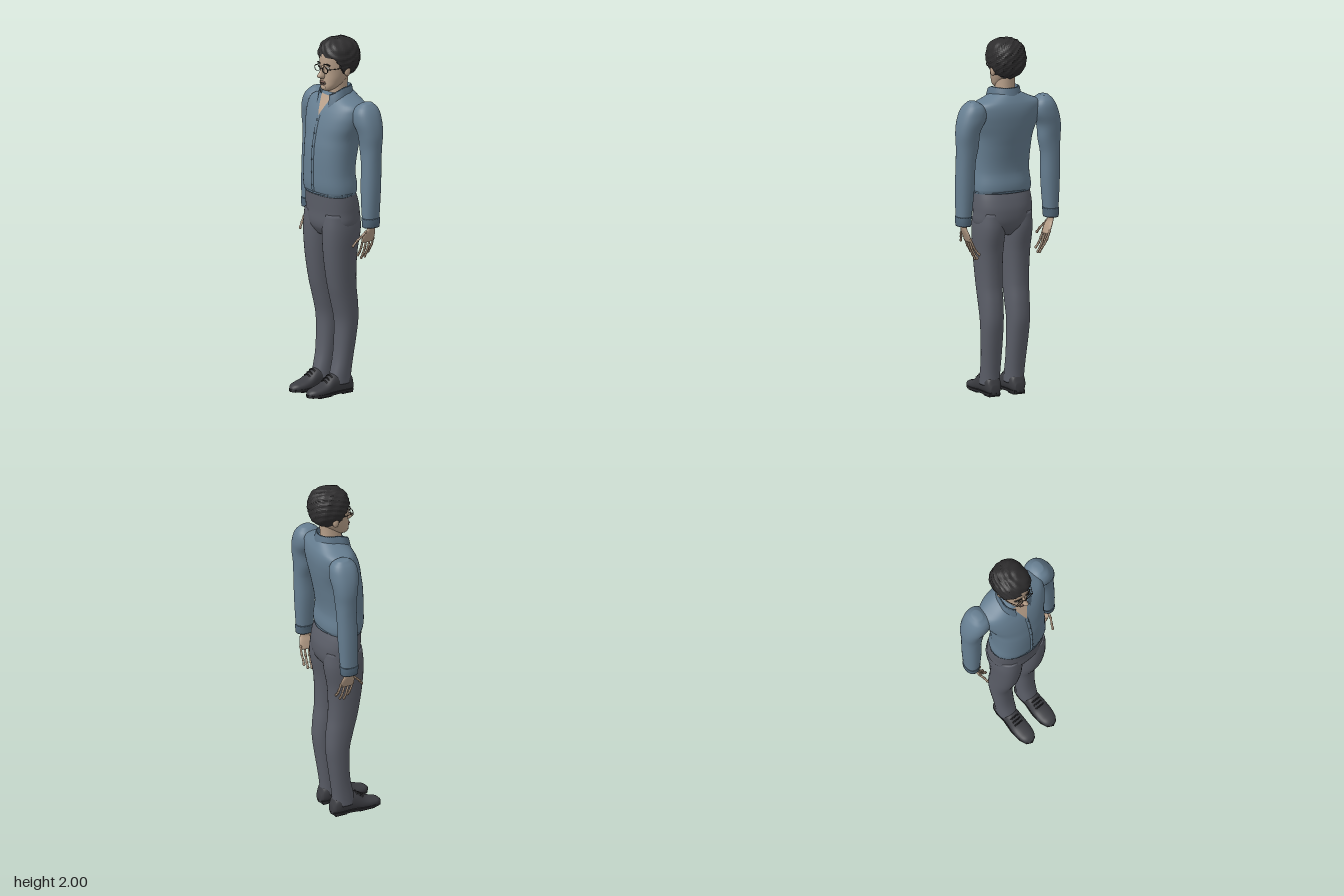
import * as THREE from 'three';
import { mergeVertices } from 'three/addons/utils/BufferGeometryUtils.js';

const mat = (color, extra = {}) => new THREE.MeshStandardMaterial({ color, ...extra });
const M = {
  shirt: mat(0x667e91), shirtDark: mat(0x52687a), trousers: mat(0x5b5e68), hair: mat(0x2e2d2e),
  skin: mat(0xb8a08a), shoe: mat(0x3c3d42), sole: mat(0x28282b), dark: mat(0x2b2725), lip: mat(0x98766a),
  white: mat(0xd8d4cc), collar: mat(0x5c7386), bone: mat(0x9a836d),
};
M.hair.flatShading = true;
M.collar.side = M.skin.side = THREE.DoubleSide;

function add(group, name, geometry, material, pos) {
  const mesh = new THREE.Mesh(geometry, material);
  mesh.name = name;
  if (pos) mesh.position.set(...pos);
  group.add(mesh);
  return mesh;
}

// Smooth surface from a function of grid steps (u, v)
function grid(nu, nv, fn) {
  const pos = [], idx = [];
  for (let v = 0; v <= nv; v++) for (let u = 0; u <= nu; u++) pos.push(...fn(u, v));
  const w = nu + 1;
  for (let v = 0; v < nv; v++) for (let u = 0; u < nu; u++) {
    const a = v * w + u;
    idx.push(a, a + w, a + 1, a + 1, a + w, a + w + 1);
  }
  let g = new THREE.BufferGeometry();
  g.setAttribute('position', new THREE.Float32BufferAttribute(pos, 3));
  g.setIndex(idx);
  g = mergeVertices(g, 1e-5);
  g.computeVertexNormals();
  return g;
}

// Rows are [y, centre x, half width, front z, back z], interpolated smoothly
const N = 2.3;
function rowsAt(rows) {
  const curve = new THREE.CubicInterpolant(rows.map(r => r[0]), rows.flatMap(r => r.slice(1)), 4, new Float32Array(4));
  return y => Array.from(curve.evaluate(y));
}
function loft(rows, side = 1, sides = 32, sub = 5) {
  const at = rowsAt(rows), ys = [rows[0][0]];
  for (let i = 1; i < rows.length; i++)
    for (let k = 1; k <= sub; k++) ys.push(THREE.MathUtils.lerp(rows[i - 1][0], rows[i][0], k / sub));
  const pw = c => Math.sign(c) * Math.abs(c) ** (2 / N);
  return grid(sides, ys.length + 1, (u, v) => {
    const y = ys[Math.min(Math.max(v - 1, 0), ys.length - 1)];
    const [cx, rx, zf, zb] = at(y), k = v === 0 || v === ys.length + 1 ? 0 : 1;
    const a = (u % sides) / sides * Math.PI * 2;
    return [side * cx + k * rx * pw(Math.cos(a)), y, (zf + zb) / 2 + k * (zf - zb) / 2 * pw(Math.sin(a))];
  });
}
function frontZ(rows, x, y) {
  const [cx, rx, zf, zb] = rowsAt(rows)(y);
  const t = Math.min(1, Math.abs((x - cx) / rx));
  return (zf + zb) / 2 + (zf - zb) / 2 * (1 - t ** N) ** (1 / N);
}
const tube = (pts, r, seg = 12) =>
  new THREE.TubeGeometry(new THREE.CatmullRomCurve3(pts.map(p => new THREE.Vector3(...p))), seg, r, 6);
function ball(group, name, material, pos, scale) {
  add(group, name, new THREE.SphereGeometry(1, 14, 10), material, pos).scale.set(...scale);
}

const TORSO = [
  [1.13, 0, .162, .088, -.128], [1.16, 0, .168, .1, -.14], [1.26, 0, .16, .105, -.132], [1.4, 0, .163, .1, -.155],
  [1.46, 0, .168, .09, -.168], [1.53, 0, .19, .075, -.18], [1.6, 0, .203, .05, -.185], [1.645, 0, .19, .025, -.178],
  [1.675, 0, .125, .008, -.165], [1.7, 0, .075, -.005, -.15]];
const ARM = [
  [.98, .27, .036, -.045, -.135], [1.04, .268, .041, -.04, -.14], [1.2, .263, .051, -.04, -.15],
  [1.34, .26, .053, -.045, -.155], [1.42, .252, .062, -.045, -.16], [1.5, .249, .066, -.035, -.17],
  [1.58, .222, .077, -.02, -.178], [1.64, .215, .055, -.035, -.165], [1.668, .218, .025, -.07, -.135]];
const LEG = [
  [.06, .075, .05, .04, -.09], [.1, .075, .051, .033, -.09], [.2, .076, .054, .01, -.102], [.32, .079, .059, 0, -.12],
  [.42, .081, .062, .002, -.132], [.52, .081, .065, .025, -.128], [.62, .082, .067, .05, -.117],
  [.8, .083, .075, .077, -.122], [.94, .084, .081, .083, -.145], [1.03, .083, .075, .075, -.14]];
const PELVIS = [
  [.9, 0, .09, .05, -.1], [.95, 0, .155, .08, -.142], [1.04, 0, .167, .085, -.156], [1.1, 0, .166, .088, -.145],
  [1.15, 0, .161, .09, -.128]];
const HEAD = [
  [1.712, 0, .022, .025, -.02], [1.728, 0, .042, .034, -.06], [1.77, 0, .061, .034, -.11], [1.82, 0, .072, .032, -.15],
  [1.87, 0, .077, .035, -.17], [1.92, 0, .074, .03, -.165], [1.96, 0, .05, 0, -.13]];
const NECK = [[1.57, 0, .06, .0, -.13], [1.66, 0, .053, -.005, -.125], [1.73, 0, .05, -.008, -.125], [1.8, 0, .05, 0, -.13]];
const NOSE = [[1.782, 0, .011, .045, 0], [1.796, 0, .016, .07, 0], [1.82, 0, .011, .056, 0], [1.855, 0, .008, .038, 0]];
// Shoe rows run heel to toe: [z, x, half width, -bottom, -top]
const SHOE = [
  [-.102, .075, .026, -.012, -.06], [-.085, .075, .041, -.008, -.105], [-.02, .075, .045, -.008, -.125],
  [.035, .075, .046, -.008, -.115], [.09, .076, .05, -.008, -.074], [.145, .076, .046, -.008, -.056],
  [.18, .076, .032, -.008, -.046], [.195, .076, .014, -.01, -.032]];

function buildShirt(root) {
  const g = new THREE.Group(); g.name = 'shirt'; root.add(g);
  add(g, 'shirtBody', loft(TORSO, 1, 48), M.shirt);
  const hem = [];
  for (let i = 0; i <= 40; i++) {
    const a = i / 40 * Math.PI * 2;
    hem.push([.164 * Math.cos(a), 1.145, -.02 + .117 * Math.sin(a)]);
  }
  add(g, 'shirtHem', tube(hem, .006, 60), M.shirtDark);
  // Open neck and button front follow the chest surface
  add(g, 'openNeck', grid(8, 10, (u, v) => {
    const y = 1.575 + v * .011, x = (1 - u / 4) * (y - 1.575) * .42;
    return [x, y, frontZ(TORSO, x, y) + .004];
  }), M.skin);
  add(g, 'placket', grid(4, 30, (u, v) => {
    const y = 1.15 + v * .0143, x = .011 - u * .0055;
    return [x, y, frontZ(TORSO, x, y) + (u % 4 ? .005 : -.003)];
  }), M.shirt);
  for (let i = 0; i < 6; i++) {
    const y = 1.19 + i * .073;
    ball(g, 'button', M.shirtDark, [0, y, frontZ(TORSO, 0, y) + .006], [.005, .005, .003]);
  }
  // Folded collar dropping to two points at the front
  const profile = [[.066, .072, 1.66, .01], [.07, .078, 1.732, .045], [.08, .086, 1.728, .05], [.092, .098, 1.672, .055]];
  add(g, 'collar', grid(40, 3, (u, v) => {
    const a = Math.PI / 2 + .42 + u / 40 * (Math.PI * 2 - .84);
    const f = Math.max(0, Math.sin(a)), [rx, rz, y, drop] = profile[v];
    return [rx * Math.cos(a) * (1 + .35 * f), y - drop * f * f, -.063 + rz * Math.sin(a) * (1 + .1 * f)];
  }), M.collar);
  for (const s of [1, -1]) {
    add(g, 'sleeve', loft(ARM, s), M.shirt);
    add(g, 'cuff', loft([[.978, .27, .039, -.041, -.139], [1.005, .27, .041, -.039, -.141], [1.03, .268, .042, -.038, -.141]], s), M.shirtDark);
  }
}

function buildHand(root, s) {
  const g = new THREE.Group(); g.name = 'hand'; root.add(g);
  add(g, 'palm', loft([[.885, .238, .008, -.048, -.132], [.93, .255, .012, -.05, -.128], [.96, .267, .013, -.065, -.118], [1.0, .27, .018, -.07, -.112]], s, 16), M.skin);
  const fingers = [0, 1, 2, 3].map(i => {
    const z = -.055 - i * .024, l = [.085, .105, .1, .075][i];
    return [[.243, .9, z], [.226, .89 - l * .4, z - .002], [.21, .89 - l * .75, z - .004 + i * .001], [.194, .89 - l, z - .004]];
  });
  fingers.push([[.262, .95, -.06], [.255, .925, -.035], [.243, .9, -.012], [.235, .875, .006]]);
  for (const f of fingers) {
    const pts = f.map(p => [s * p[0], p[1], p[2]]);
    add(g, 'finger', tube(pts, .0062), M.skin);
    pts.forEach(p => ball(g, 'knuckle', M.bone, p, [.0078, .009, .0078]));
  }
}

function buildTrousers(root) {
  const g = new THREE.Group(); g.name = 'trousers'; root.add(g);
  add(g, 'hips', loft(PELVIS, 1, 48), M.trousers);
  for (const s of [1, -1]) add(g, 'trouserLeg', loft(LEG, s), M.trousers);
}

function buildShoe(root, s) {
  const g = new THREE.Group(); g.name = 'shoe'; root.add(g);
  add(g, 'upper', loft(SHOE, s, 28).rotateX(Math.PI / 2), M.shoe);
  const outline = new THREE.Shape([[0, -.104], [.032, -.095], [.041, -.06], [.039, 0], [.05, .08], [.046, .145], [.03, .185], [0, .2]]
    .flatMap((p, i, a) => [p]).map(p => new THREE.Vector2(...p)));
  const pts = outline.getPoints(), mirrored = pts.slice(1, -1).reverse().map(p => new THREE.Vector2(-p.x, p.y));
  const sole = new THREE.ExtrudeGeometry(new THREE.Shape([...pts, ...mirrored]), { depth: .014, bevelEnabled: false });
  add(g, 'sole', sole.rotateX(Math.PI / 2), M.sole, [s * .076, .022, 0]);
  add(g, 'heel', new THREE.BoxGeometry(.068, .012, .07), M.sole, [s * .076, .006, -.055]);
  add(g, 'ballOfSole', new THREE.BoxGeometry(.075, .01, .09), M.sole, [s * .076, .005, .1]);
  for (let i = 0; i < 3; i++) {
    const z = .045 + i * .018, y = .114 - i * .012;
    add(g, 'lace', tube([[s * .076 - .026, y - .012, z], [s * .076, y, z + .004], [s * .076 + .026, y - .012, z]], .004), M.sole);
  }
}

function buildHead(root) {
  const g = new THREE.Group(); g.name = 'head'; root.add(g);
  add(g, 'neck', loft(NECK), M.skin);
  add(g, 'face', loft(HEAD, 1, 40), M.skin);
  add(g, 'nose', loft(NOSE, 1, 16), M.skin);
  ball(g, 'chin', M.skin, [0, 1.732, .026], [.024, .016, .014]);
  ball(g, 'upperLip', M.lip, [0, 1.764, .036], [.024, .005, .01]);
  ball(g, 'lowerLip', M.lip, [0, 1.751, .035], [.02, .006, .01]);
  add(g, 'mouthLine', tube([[-.026, 1.755, .032], [0, 1.758, .044], [.026, 1.755, .032]], .002), M.dark);
  for (const s of [1, -1]) {
    ball(g, 'eye', M.white, [s * .033, 1.845, .026], [.014, .007, .01]);
    ball(g, 'iris', M.dark, [s * .033, 1.845, .034], [.006, .006, .003]);
    add(g, 'eyebrow', tube([[s * .014, 1.863, .037], [s * .034, 1.869, .035], [s * .056, 1.862, .024]], .004), M.dark);
    ball(g, 'ear', M.skin, [s * .08, 1.825, -.075], [.013, .032, .02]);
    add(g, 'glassesRim', new THREE.TorusGeometry(.023, .002, 6, 24), M.dark, [s * .034, 1.838, .044]).scale.y = .8;
    add(g, 'glassesArm', tube([[s * .057, 1.843, .042], [s * .077, 1.845, 0], [s * .084, 1.845, -.075]], .002), M.dark);
  }
  add(g, 'glassesBridge', tube([[-.012, 1.842, .046], [0, 1.846, .052], [.012, 1.842, .046]], .002), M.dark);
  // Tousled hair: a rounded shell tucked under the skin below the hairline
  const hair = new THREE.SphereGeometry(1, 64, 44), p = hair.attributes.position;
  for (let i = 0; i < p.count; i++) {
    const d = new THREE.Vector3().fromBufferAttribute(p, i);
    const box = 1 / (Math.abs(d.x) ** 2.5 + Math.abs(d.y) ** 2.5 + Math.abs(d.z) ** 2.5) ** .4;
    const bump = .965 + .02 * Math.sin(d.x * 9 + d.y * 5) * Math.sin(d.z * 11 + 2 * d.x) + .013 * Math.sin(d.y * 23 + d.x * 17 + d.z * 7);
    d.multiplyScalar(box * bump);
    let x = d.x * .106, y = 1.888 + d.y * .115, z = -.079 + d.z * .117;
    if (y < 1.88) x *= 1 - (1.88 - y) * 1.5;
    const line = z > -.055 ? Math.min(1.9, 1.8 + (z + .055) * 1.5) : 1.765;
    if (y < line) { x *= .62; z = -.075 + (z + .075) * .72; y = Math.max(y, 1.78); }
    p.setXYZ(i, x, Math.min(y, 2), z);
  }
  hair.computeVertexNormals();
  add(g, 'hair', hair, M.hair);
}

export function createModel() {
  const root = new THREE.Group();
  root.name = 'standingMan';
  buildShirt(root);
  buildTrousers(root);
  buildHead(root);
  for (const s of [1, -1]) { buildHand(root, s); buildShoe(root, s); }
  return root;
}
